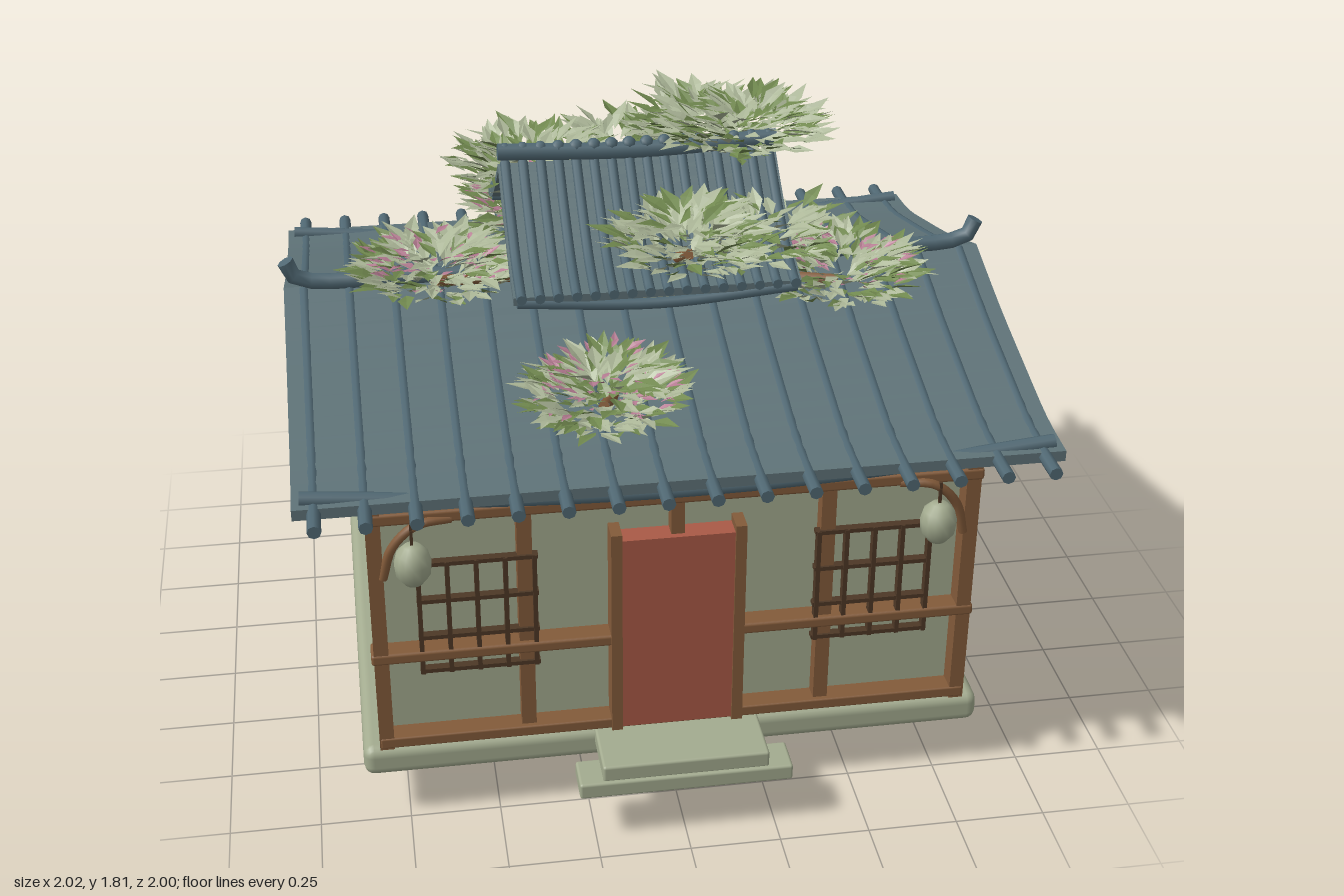
import * as THREE from 'three';
import { mergeGeometries, toCreasedNormals } from 'three/addons/utils/BufferGeometryUtils.js';
import { RoundedBoxGeometry } from 'three/addons/geometries/RoundedBoxGeometry.js';

const mat = (name, color, side = THREE.FrontSide) =>
  Object.assign(new THREE.MeshStandardMaterial({ color, side }), { name });
const V = (x, y, z) => new THREE.Vector3(x, y, z);

export function createModel() {
  const model = new THREE.Group();
  model.name = 'teaHouse';
  const sage = mat('sage plaster and stone', 0xa3ab8f);
  const wood = mat('brown wood', 0x835b3a);
  const darkWood = mat('dark lattice wood', 0x4d3826);
  const red = mat('red door', 0xa95a46);
  const slate = mat('slate roof', 0x5f7378);
  const tile = mat('dark slate tile', 0x506873);
  const paleLeaf = mat('pale leaf', 0xabb697, THREE.DoubleSide);
  const greenLeaf = mat('green leaf', 0x71894f, THREE.DoubleSide);
  const pink = mat('pink blossom', 0xb57c92, THREE.DoubleSide);

  let seed = 7;
  const rnd = () => (seed = (seed * 16807) % 2147483647) / 2147483647;
  const add = (name, geo, material, parent = model) => {
    const m = new THREE.Mesh(geo, material);
    m.name = name;
    parent.add(m);
    return m;
  };
  const group = (name) => {
    const g = new THREE.Group();
    g.name = name;
    model.add(g);
    return g;
  };
  // box given by its extents on each axis
  const box = (name, x0, x1, y0, y1, z0, z1, material, parent, r = 0) => {
    const s = [x1 - x0, y1 - y0, z1 - z0];
    const geo = r ? new RoundedBoxGeometry(...s, 2, r) : new THREE.BoxGeometry(...s);
    geo.translate((x0 + x1) / 2, (y0 + y1) / 2, (z0 + z1) / 2);
    return add(name, geo, material, parent);
  };
  // tube along a smooth path with closed ends
  const tube = (name, pts, r, material, parent, seg = 14, sides = 8) => {
    const curve = new THREE.CatmullRomCurve3(pts);
    add(name, new THREE.TubeGeometry(curve, seg, r, sides), material, parent);
    for (const t of [0, 1]) {
      const cap = add(name + 'End', new THREE.CircleGeometry(r, sides), material, parent);
      const p = curve.getPoint(t);
      cap.position.copy(p);
      cap.lookAt(p.clone().addScaledVector(curve.getTangent(t), t ? 1 : -1));
    }
  };

  // rock under the plinth
  const rockGeo = new THREE.IcosahedronGeometry(1, 3);
  const p = rockGeo.attributes.position;
  for (let i = 0; i < p.count; i++) {
    const v = V().fromBufferAttribute(p, i);
    const n = 1 + 0.07 * Math.sin(v.x * 7 + v.z * 4) * Math.cos(v.y * 6 - v.z * 5) + 0.05 * Math.sin(v.z * 9 + v.y * 4);
    p.setXYZ(i, v.x * 0.36 * n, THREE.MathUtils.clamp(0.11 + v.y * 0.15 * n, 0, 0.15), 0.025 + v.z * 0.275 * n);
  }
  add('rock', toCreasedNormals(rockGeo, 0.15), sage);

  // plinth, steps and walls
  box('plinth', -0.87, 0.87, 0.145, 0.237, -0.71, 0.75, sage, model, 0.03);
  box('upperStep', -0.23, 0.23, 0.19, 0.24, 0.7, 0.92, sage, model, 0.008);
  box('lowerStep', -0.295, 0.295, 0.147, 0.195, 0.82, 0.93, sage, model, 0.008);
  box('walls', -0.8, 0.8, 0.235, 1.015, -0.64, 0.69, sage);

  // timber frame, front and back
  const frame = group('timberFrame');
  for (const [z0, z1, xs] of [[0.68, 0.735, [0.41]], [-0.68, -0.63, [0.41, 0]]]) {
    for (const s of [-1, 1]) {
      box('cornerPost', s * 0.803 - 0.02, s * 0.803 + 0.02, 0.235, 1.07, z0 - 0.005, z1 + 0.012, wood, frame);
      for (const x of xs) if (x || s > 0) box('post', s * x - 0.02, s * x + 0.02, 0.235, 1.05, z0, z1, wood, frame);
    }
    const out = z0 > 0 ? [z0, z1 + 0.015] : [z0 - 0.012, z1];
    box('topRail', -0.83, 0.83, 0.953, 0.988, ...out, wood, frame, 0.008);
    box('bottomRail', -0.82, 0.82, 0.24, 0.272, ...out, wood, frame, 0.005);
    if (z0 < 0) box('middleRail', -0.83, 0.83, 0.517, 0.55, ...out, wood, frame, 0.008);
  }
  box('lintelPost', -0.018, 0.018, 0.85, 1.05, 0.68, 0.735, wood, frame);
  for (const s of [-1, 1]) {
    box('doorPost', s * 0.168 - 0.015, s * 0.168 + 0.015, 0.235, 0.875, 0.68, 0.76, wood, frame);
  }
  box('frontMiddleRail', -0.83, 0.83, 0.517, 0.55, 0.68, 0.75, wood, frame, 0.008);
  box('door', -0.155, 0.155, 0.245, 0.852, 0.68, 0.752, red);

  // lattice windows and hanging lanterns
  for (const s of [-1, 1]) {
    const win = group('latticeWindow');
    for (let i = 0; i < 5; i++) {
      const x = s * (0.385 + i * 0.077);
      box('latticeUpright', x - 0.006, x + 0.006, 0.475, 0.825, 0.72, 0.745, darkWood, win);
    }
    for (const y of [0.482, 0.59, 0.705, 0.82]) {
      const a = s * 0.375, b = s * 0.7;
      box('latticeBar', Math.min(a, b), Math.max(a, b), y - 0.006, y + 0.006, 0.718, 0.742, darkWood, win);
    }
    const lamp = group('lantern');
    tube('bracket', [V(s * 0.785, 0.79, 0.74), V(s * 0.755, 0.89, 0.75), V(s * 0.69, 0.955, 0.755), V(s * 0.6, 0.96, 0.74)], 0.013, wood, lamp);
    const prof = [[0, -0.058], [0.025, -0.058], [0.046, -0.03], [0.05, 0.005], [0.042, 0.035], [0.022, 0.055], [0, 0.058]];
    const body = add('lanternBody', new THREE.LatheGeometry(prof.map((q) => new THREE.Vector2(...q)), 14), sage, lamp);
    body.position.set(s * 0.705, 0.845, 0.765);
    box('lanternCord', s * 0.705 - 0.004, s * 0.705 + 0.004, 0.89, 0.965, 0.76, 0.768, darkWood, lamp);
  }

  // curved gable roof: slab swept along x, ribs following the slope
  const roof = (name, prof, half, zc, thick, ribs, ribX, ribR, tip, ribSink) => {
    const g = group(name);
    const slope = new THREE.SplineCurve(prof.map((q) => new THREE.Vector2(...q))).getPoints(12);
    const full = [...slope.slice(1).reverse().map((q) => new THREE.Vector2(-q.x, q.y)), ...slope];
    const shape = new THREE.Shape([...full, ...full.slice().reverse().map((q) => new THREE.Vector2(q.x, q.y - thick))]);
    const slab = new THREE.ExtrudeGeometry(shape, { depth: half * 2, bevelEnabled: false });
    slab.translate(0, 0, -half).rotateY(Math.PI / 2).translate(0, 0, zc);
    add('roofSlab', toCreasedNormals(slab, 0.5), slate, g);
    for (let i = 0; i < ribs; i++) {
      const x = -ribX + (2 * ribX * i) / (ribs - 1);
      for (const s of [-1, 1]) {
        const pts = slope.map((q) => V(x, q.y - ribSink, zc + s * q.x));
        const end = pts[pts.length - 1];
        pts.push(V(x, end.y, end.z + s * tip));
        tube('roofRib', pts, ribR, tile, g, 14, 8);
      }
    }
    return g;
  };
  const main = roof('mainRoof', [[0, 1.305], [0.25, 1.225], [0.5, 1.16], [0.7, 1.113], [0.86, 1.1]], 1, 0.015, 0.03, 16, 0.945, 0.018, 0.088, 0.014);
  tube('ridge', [V(-0.99, 1.385, 0.015), V(-0.965, 1.335, 0.015), V(-0.6, 1.318, 0.015), V(0, 1.31, 0.015), V(0.6, 1.318, 0.015), V(0.965, 1.335, 0.015), V(0.99, 1.385, 0.015)], 0.024, tile, main, 40);
  for (const z of [0.835, -0.805]) {
    tube('eaveBeam', [-0.98, -0.5, 0, 0.5, 0.98].map((x) => V(x, 1.05 + 0.06 * x * x, z)), 0.021, tile, main, 24);
  }

  // raised upper roof on a plastered box
  box('upperBox', -0.25, 0.25, 1.12, 1.37, -0.13, 0.15, sage);
  const upper = roof('upperRoof', [[0, 1.64], [0.13, 1.54], [0.26, 1.455], [0.38, 1.41]], 0.39, 0.015, 0.022, 16, 0.37, 0.014, 0.02, -0.002);
  tube('upperRidge', [V(-0.39, 1.675, 0.015), V(0, 1.66, 0.015), V(0.39, 1.675, 0.015)], 0.025, tile, upper);
  for (let i = 0; i < 16; i++) {
    add('ridgeTile', new THREE.SphereGeometry(0.02, 8, 6), tile, upper).position.set(-0.37 + i * 0.0493, 1.68, 0.015);
  }
  for (const z of [0.385, -0.355]) {
    tube('upperEaveBeam', [-0.38, 0, 0.38].map((x) => V(x, 1.365 + 0.18 * x * x, z)), 0.016, tile, upper);
  }

  // foliage pads: centre, horizontal radius, height radius, leaf count, blossom count
  const pads = [
    [-0.18, 1.21, 0.62, 0.2, 0.09, 240, 70],
    [-0.58, 1.39, 0.17, 0.21, 0.08, 260, 70],
    [0.54, 1.33, 0.2, 0.23, 0.08, 270, 70],
    [-0.23, 1.25, -0.52, 0.21, 0.13, 260, 80],
    [-0.27, 1.5, -0.28, 0.23, 0.08, 230, 0],
    [0.23, 1.56, -0.36, 0.2, 0.1, 230, 0],
    [0.3, 1.69, 0.0, 0.22, 0.08, 260, 0],
    [0.08, 1.53, 0.4, 0.2, 0.09, 230, 0],
    [0.3, 1.48, 0.28, 0.17, 0.07, 140, 0],
    [0.0, 1.44, -0.5, 0.18, 0.1, 130, 0],
    [0.06, 0.92, -0.8, 0.16, 0.07, 150, 0],
    [0.53, 1.24, -0.33, 0.15, 0.05, 22, 6],
    [-0.55, 1.06, 0.4, 0.18, 0.03, 60, 0],
    [0.4, 1.02, 0.55, 0.18, 0.04, 60, 0],
    [0.3, 1.08, -0.35, 0.2, 0.06, 90, 0],
  ];
  // one folded leaf pointing along +z
  const leaf = new THREE.BufferGeometry();
  leaf.setAttribute('position', new THREE.Float32BufferAttribute([0, 0, 0, -0.2, 0.05, 0.45, 0, 0, 0.5, 0.2, 0.05, 0.45, 0, -0.04, 1], 3));
  leaf.setIndex([0, 1, 2, 0, 2, 3, 1, 4, 2, 2, 4, 3]);
  const flatLeaf = leaf.toNonIndexed();
  flatLeaf.computeVertexNormals();
  const dummy = new THREE.Object3D();
  const sets = new Map([[paleLeaf, []], [greenLeaf, []], [pink, []]]);
  const grow = ([cx, cy, cz, r, h], size, material, lift) => {
    const a = rnd() * Math.PI * 2, d = Math.sqrt(rnd());
    const top = Math.sqrt(Math.max(0, 1 - d * d));
    dummy.position.set(cx + Math.cos(a) * d * r * 0.85, cy + h * (top * (rnd() * 1.5 - 0.5) + lift), cz + Math.sin(a) * d * r * 0.85);
    dummy.rotation.set(-0.15 - rnd() * 0.45, Math.PI / 2 - a + (rnd() - 0.5) * 1.6, (rnd() - 0.5) * 0.7, 'YXZ');
    dummy.scale.setScalar(size * (0.75 + rnd() * 0.5));
    dummy.updateMatrix();
    sets.get(material).push(flatLeaf.clone().applyMatrix4(dummy.matrix));
  };
  for (const pad of pads) {
    for (let i = 0; i < pad[5]; i++) grow(pad, 0.095, rnd() < 0.66 ? paleLeaf : greenLeaf, 0);
    for (let i = 0; i < pad[6]; i++) grow(pad, 0.05, pink, 0.35);
  }
  const foliage = group('foliage');
  for (const [material, list] of sets) add(material === pink ? 'blossoms' : 'leaves', mergeGeometries(list), material, foliage);

  // trunk and a branch to each pad
  const tree = group('tree');
  tube('trunk', [V(0, 0.9, -0.01), V(0.02, 1.1, 0), V(0.06, 1.3, -0.03), V(0.12, 1.5, -0.05)], 0.045, wood, tree);
  for (const [x, y, z] of pads.slice(0, 11)) {
    const low = y < 1.3;
    const from = low ? V(0.02, 1.02, 0) : V(0.05, 1.22, -0.02);
    const mid = V(x * 0.5 + 0.02, (from.y + y) / 2 + (low ? -0.01 : 0.02), z * 0.5);
    tube('branch', [from, mid, V(x, y - 0.02, z)], 0.016, wood, tree, 10, 6);
  }
  return model;
}
